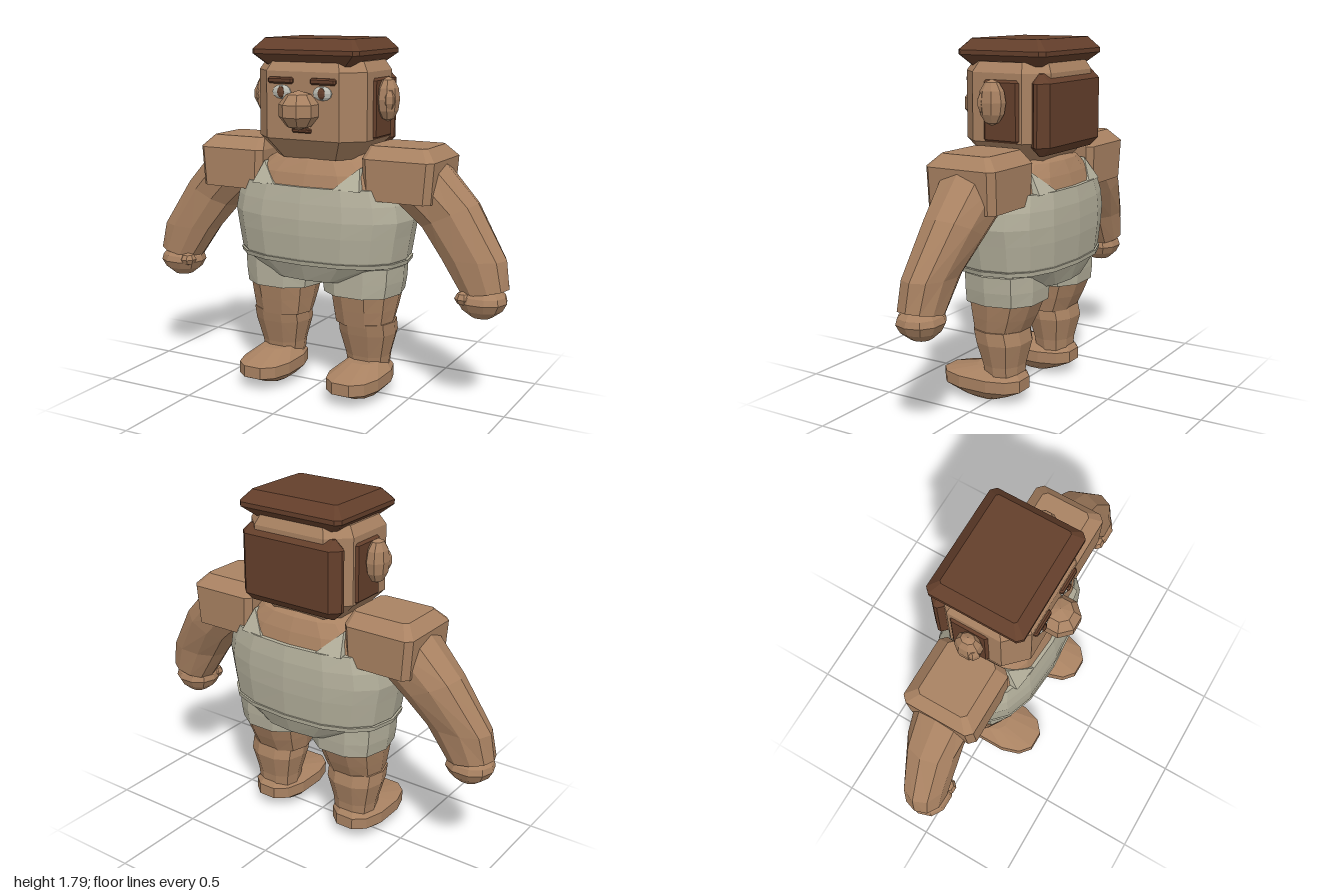
import * as THREE from 'three';

const V = (x, y, z) => new THREE.Vector3(x, y, z);

// Faceted skin over a list of point rings, capped at both ends
function loft(rings) {
  const pos = [];
  const tri = (...pts) => pts.forEach(p => pos.push(p.x, p.y, p.z));
  const n = rings[0].length;
  for (let i = 0; i < rings.length - 1; i++) {
    const a = rings[i], b = rings[i + 1];
    for (let j = 0; j < n; j++) {
      const k = (j + 1) % n;
      tri(a[j], a[k], b[k]);
      tri(a[j], b[k], b[j]);
    }
  }
  const first = rings[0], last = rings[rings.length - 1];
  for (let j = 1; j < n - 1; j++) {
    tri(first[0], first[j + 1], first[j]);
    tri(last[0], last[j], last[j + 1]);
  }
  const g = new THREE.BufferGeometry();
  g.setAttribute('position', new THREE.Float32BufferAttribute(pos, 3));
  g.computeVertexNormals();
  return g;
}

// Ring around centre c with axes u and v; e above 2 makes it squarer
function ring(c, u, v, n, e = 2, off = 0) {
  const p = t => Math.sign(t) * Math.pow(Math.abs(t), 2 / e);
  return Array.from({ length: n }, (_, i) => {
    const a = (i + off) / n * Math.PI * 2;
    return c.clone().addScaledVector(u, p(Math.cos(a))).addScaledVector(v, p(Math.sin(a)));
  });
}

// Upright body from levels [y, halfWidth, zBack, zFront]
const body = (cx, levels, n, e, off) => loft(levels.map(([y, rx, z0, z1]) =>
  ring(V(cx, y, (z0 + z1) / 2), V(0, 0, (z1 - z0) / 2), V(rx, 0, 0), n, e, off)));

// Stack of rectangles with cut corners, levels [y, x0, x1, z0, z1, cut]
const block = levels => loft(levels.map(([y, x0, x1, z0, z1, c]) => [
  [x0 + c, z1], [x1 - c, z1], [x1, z1 - c], [x1, z0 + c],
  [x1 - c, z0], [x0 + c, z0], [x0, z0 + c], [x0, z1 - c],
].map(([x, z]) => V(x, y, z))));

// Box with every edge bevelled by b
const bevelBox = (x0, x1, y0, y1, z0, z1, b) => block([
  [y0, x0 + b, x1 - b, z0 + b, z1 - b, b * 0.1],
  [y0 + b, x0, x1, z0, z1, b],
  [y1 - b, x0, x1, z0, z1, b],
  [y1, x0 + b, x1 - b, z0 + b, z1 - b, b * 0.1],
]);

// Faceted ellipsoid
function blob(x, y, z, rx, ry, rz, seg = 8, rows = 5) {
  const g = new THREE.SphereGeometry(1, seg, rows).rotateY(Math.PI / seg)
    .scale(rx, ry, rz).translate(x, y, z).toNonIndexed();
  g.computeVertexNormals();
  return g;
}

// Reflected copy with the corner order corrected
function reflect(geo, axis, about = 0) {
  const g = geo.clone(), p = g.attributes.position;
  for (let i = 0; i < p.count; i += 3) {
    const t = [0, 2, 1].map(k => V().fromBufferAttribute(geo.attributes.position, i + k));
    t.forEach((v, k) => {
      v[axis] = 2 * about - v[axis];
      p.setXYZ(i + k, v.x, v.y, v.z);
    });
  }
  g.computeVertexNormals();
  return g;
}

export function createModel() {
  const model = new THREE.Group();
  const material = (name, color) => {
    const m = new THREE.MeshStandardMaterial({ color });
    m.name = name;
    return m;
  };
  const skin = material('skin', 0xa98262);
  const hair = material('hair', 0x643f2b);
  const cloth = material('cloth', 0xb2ae9a);
  const white = material('eyeWhite', 0xc2c2b8);

  const add = (name, geo, mat) => {
    const m = new THREE.Mesh(geo, mat);
    m.name = name;
    model.add(m);
  };
  const pair = (name, geo, mat) => {
    add(name + 'Left', geo, mat);
    add(name + 'Right', reflect(geo, 'x'), mat);
  };

  // Torso: vest with a hem, bare upper chest
  add('vest', body(0, [
    [0.60, 0.28, -0.28, 0.18], [0.69, 0.43, -0.315, 0.22], [0.72, 0.455, -0.32, 0.23],
    [0.84, 0.475, -0.33, 0.24], [0.92, 0.49, -0.33, 0.24], [1.0, 0.475, -0.325, 0.23],
    [1.08, 0.44, -0.31, 0.215],
  ], 16, 2.5), cloth);
  add('hem', body(0, [[0.69, 0.457, -0.325, 0.23], [0.712, 0.462, -0.327, 0.235]], 16, 2.5), cloth);
  add('chest', body(0, [
    [1.07, 0.42, -0.29, 0.20], [1.14, 0.37, -0.27, 0.18],
    [1.205, 0.28, -0.24, 0.14], [1.25, 0.18, -0.18, 0.09],
  ], 16, 2.5), skin);

  // Pointed vest straps, front and back
  const tip = d => [V(0.16, 1.075, 0.205 + d), V(0.3, 1.075, 0.185 + d), V(0.27, 1.18, 0.115 + d)];
  const strap = loft([tip(-0.06), tip(0)]);
  pair('frontStrap', strap, cloth);
  pair('backStrap', reflect(strap, 'z', -0.045), cloth);

  // Legs
  pair('shortsLeg', body(0.225, [
    [0.53, 0.2, -0.245, 0.155], [0.6, 0.212, -0.25, 0.155], [0.68, 0.217, -0.25, 0.155],
  ], 10, 2.4, 0.5), cloth);
  pair('thigh', body(0.238, [
    [0.37, 0.15, -0.16, 0.105], [0.45, 0.165, -0.2, 0.12], [0.56, 0.182, -0.245, 0.14],
  ], 10, 2.3, 0.5), skin);
  pair('shin', body(0.25, [
    [0.14, 0.11, -0.145, 0.045], [0.2, 0.118, -0.15, 0.055],
    [0.32, 0.15, -0.18, 0.09], [0.385, 0.15, -0.165, 0.105],
  ], 10, 2.3, 0.5), skin);
  pair('foot', body(0.255, [
    [0.005, 0.06, -0.03, 0.13], [0.03, 0.1, -0.09, 0.2], [0.07, 0.14, -0.17, 0.29],
    [0.13, 0.14, -0.17, 0.29], [0.178, 0.085, -0.13, 0.1],
  ], 12, 2.5, 0.5), skin);

  // Arms: each level has outer x y, inner x y, z centre, z radius
  pair('shoulder', block([
    [1.03, 0.29, 0.64, -0.235, 0.14, 0.03],
    [1.23, 0.28, 0.655, -0.24, 0.14, 0.03],
    [1.29, 0.3, 0.6, -0.18, 0.08, 0.02],
  ]), skin);
  pair('arm', loft([
    [0.63, 1.235, 0.43, 0.99, -0.05, 0.16],
    [0.82, 1.03, 0.54, 0.895, -0.05, 0.135],
    [0.98, 0.775, 0.645, 0.765, -0.02, 0.11],
    [1.0, 0.64, 0.765, 0.595, -0.01, 0.1],
  ].map(([ox, oy, ix, iy, zc, rz]) => ring(V((ox + ix) / 2, (oy + iy) / 2, zc),
    V((ox - ix) / 2, (oy - iy) / 2, 0), V(0, 0, rz), 10, 2.2))), skin);
  pair('hand', body(0.872, [
    [0.493, 0.05, -0.05, 0.05], [0.53, 0.1, -0.09, 0.09],
    [0.57, 0.122, -0.11, 0.11], [0.6, 0.115, -0.1, 0.1], [0.635, 0.08, -0.07, 0.07],
  ], 10, 2.2, 0.5), skin);
  pair('thumb', blob(0.8, 0.588, 0.062, 0.045, 0.035, 0.045, 8, 4), skin);

  // Head
  add('head', block([
    [1.21, -0.205, 0.205, -0.2, 0.13, 0.06],
    [1.31, -0.3, 0.3, -0.275, 0.2, 0.1],
    [1.64, -0.3, 0.3, -0.275, 0.2, 0.1],
    [1.69, -0.27, 0.27, -0.25, 0.17, 0.09],
  ]), skin);
  add('nose', blob(0, 1.458, 0.235, 0.102, 0.096, 0.104), skin);
  pair('ear', blob(0.345, 1.505, -0.04, 0.055, 0.11, 0.07, 8, 6), skin);
  pair('innerEar', blob(0.365, 1.505, -0.01, 0.033, 0.055, 0.04, 6, 5), skin);
  pair('eyeWhite', blob(0.112, 1.54, 0.2, 0.055, 0.035, 0.018, 8, 6), white);
  pair('iris', blob(0.112, 1.54, 0.212, 0.021, 0.028, 0.012, 8, 6), hair);
  pair('brow', bevelBox(0.048, 0.185, 1.58, 1.612, 0.18, 0.218, 0.008), hair);
  add('mouth', bevelBox(-0.052, 0.052, 1.346, 1.368, 0.18, 0.215, 0.006), hair);

  // Hair: flat cap on top, panels behind and beside the head
  add('topHair', block([
    [1.665, -0.23, 0.23, -0.23, 0.16, 0.02],
    [1.72, -0.295, 0.295, -0.288, 0.2, 0.025],
    [1.742, -0.295, 0.295, -0.288, 0.2, 0.025],
    [1.797, -0.245, 0.245, -0.235, 0.145, 0.01],
  ]), hair);
  add('backHair', bevelBox(-0.29, 0.29, 1.25, 1.64, -0.297, -0.19, 0.045), hair);
  pair('sideHair', bevelBox(0.25, 0.312, 1.31, 1.608, -0.16, 0.035, 0.012), hair);

  return model;
}
